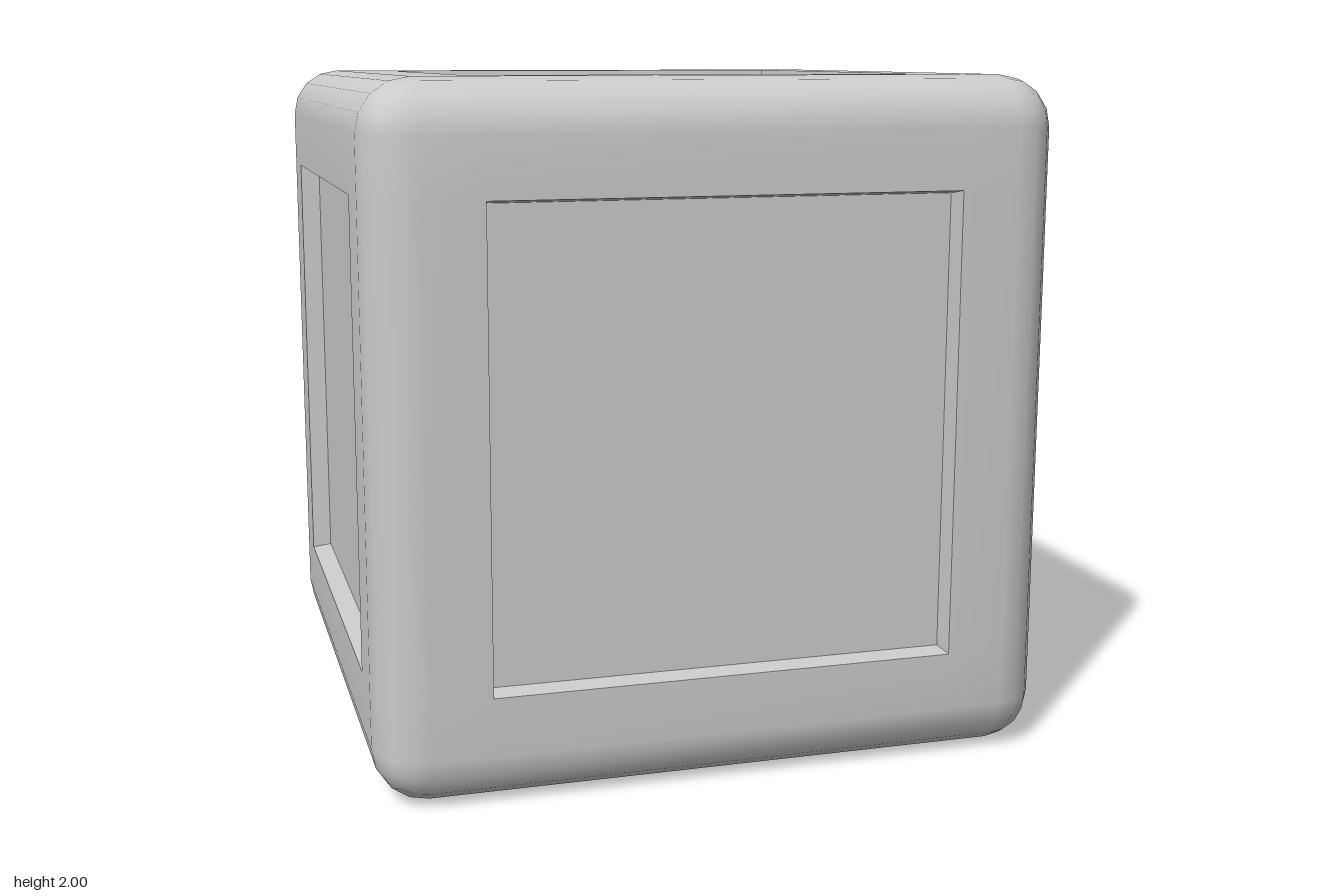
import * as THREE from 'three';
import { mergeGeometries, mergeVertices } from 'three/addons/utils/BufferGeometryUtils.js';

const R = 0.15;        // edge rounding
const OPEN = 0.68;     // half width of a recess at its rim
const FLOOR = 0.67;    // half width of a recess at its floor
const DEPTH = 0.06;    // recess depth

// One upward face of the rounded cube, out to the middle of its rounded edges.
function faceGeometry(hasOpening) {
  const half = [OPEN, 1 - R, 1 - R + R * Math.tan(Math.PI / 8), 1];
  const steps = [...half.map(v => -v).reverse(), ...half];
  const n = steps.length;
  const inner = 1 - R;
  const limit = new THREE.Vector3(inner, inner, inner);
  const positions = [];
  const index = [];
  for (const z of steps) {
    for (const x of steps) {
      const p = new THREE.Vector3(x, 1, z);
      const core = p.clone().clamp(limit.clone().negate(), limit);
      p.sub(core).setLength(R).add(core);
      positions.push(p.x, p.y, p.z);
    }
  }
  const middle = n / 2 - 1;
  for (let j = 0; j < n - 1; j++) {
    for (let i = 0; i < n - 1; i++) {
      if (hasOpening && i === middle && j === middle) continue;
      const a = j * n + i, b = a + 1, c = a + n, d = c + 1;
      index.push(a, c, b, b, c, d);
    }
  }
  const g = new THREE.BufferGeometry();
  g.setAttribute('position', new THREE.Float32BufferAttribute(positions, 3));
  g.setIndex(index);
  return g;
}

export function createModel() {
  const group = new THREE.Group();
  group.name = 'panelledCube';
  const smooth = new THREE.MeshStandardMaterial({ color: 0xcccccc });
  const flat = new THREE.MeshStandardMaterial({ color: 0xcccccc, flatShading: true, side: THREE.DoubleSide });

  // Turn from the top face to each side; the underside stays plain.
  const q = Math.PI / 2;
  const sides = [
    { name: 'top', turn: [0, 0, 0] },
    { name: 'front', turn: [q, 0, 0] },
    { name: 'back', turn: [-q, 0, 0] },
    { name: 'left', turn: [0, 0, -q] },
    { name: 'right', turn: [0, 0, q] },
    { name: 'bottom', turn: [2 * q, 0, 0], plain: true },
  ];

  // Rounded shell, welded so the shading flows around the edges
  const faces = sides.map(({ turn, plain }) => faceGeometry(!plain).applyMatrix4(
    new THREE.Matrix4().makeRotationFromEuler(new THREE.Euler(...turn))));
  const shellGeometry = mergeVertices(mergeGeometries(faces), 1e-4);
  shellGeometry.computeVertexNormals();
  const shell = new THREE.Mesh(shellGeometry, smooth);
  shell.name = 'roundedFrame';
  shell.position.y = 1;
  group.add(shell);

  // Recessed panels with slightly tapered walls
  const wallGeometry = new THREE.CylinderGeometry(OPEN * Math.SQRT2, FLOOR * Math.SQRT2, DEPTH, 4, 1, true)
    .rotateY(Math.PI / 4).translate(0, 1 - DEPTH / 2, 0);
  const panelGeometry = new THREE.PlaneGeometry(2 * FLOOR, 2 * FLOOR)
    .rotateX(-q).translate(0, 1 - DEPTH, 0);
  for (const { name, turn, plain } of sides) {
    if (plain) continue;
    const recess = new THREE.Group();
    recess.name = name + 'Recess';
    const walls = new THREE.Mesh(wallGeometry, flat);
    walls.name = name + 'RecessWalls';
    const panel = new THREE.Mesh(panelGeometry, smooth);
    panel.name = name + 'Panel';
    recess.add(walls, panel);
    recess.rotation.set(...turn);
    recess.position.y = 1;
    group.add(recess);
  }
  return group;
}
